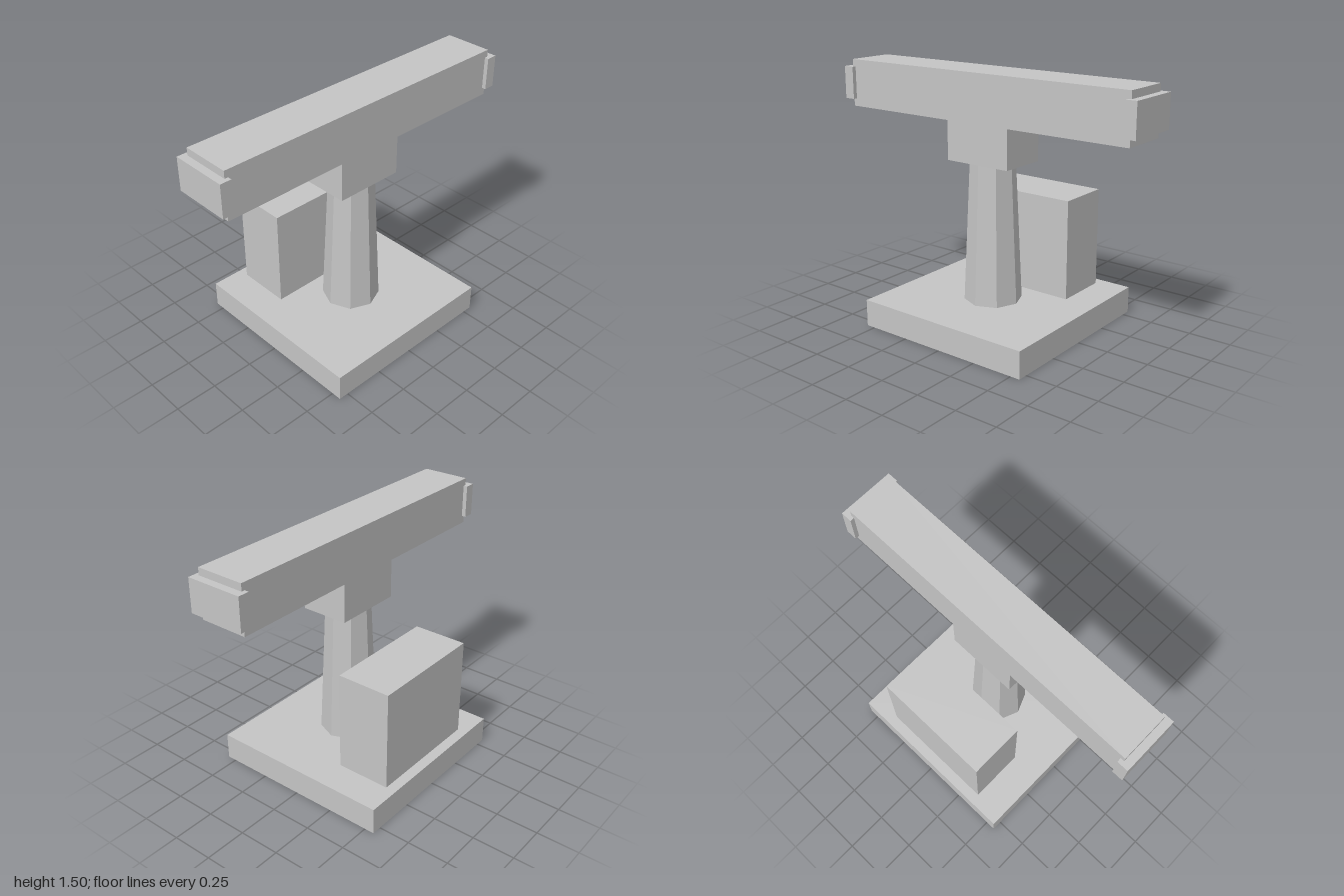
import * as THREE from 'three';

export function createModel() {
  const model = new THREE.Group();
  model.name = 'pedestalWithCrossBeam';
  const grey = new THREE.MeshStandardMaterial({ color: 0xc4c4c4 });
  grey.name = 'light grey';
  const armZ = 0.066; // column and beam sit slightly forward of centre

  function add(name, geometry, x, y, z) {
    const mesh = new THREE.Mesh(geometry, grey);
    mesh.name = name;
    mesh.position.set(x, y, z);
    model.add(mesh);
  }

  // Square base plate and the cabinet standing at the back of it
  add('basePlate', new THREE.BoxGeometry(1.116, 0.16, 1.116), 0, 0.08, 0);
  add('cabinet', new THREE.BoxGeometry(0.724, 0.6, 0.33), 0, 0.46, -0.33);

  // Tapered eight-sided column with flat faces
  const column = new THREE.CylinderGeometry(0.132, 0.17, 0.83, 8).toNonIndexed();
  column.computeVertexNormals();
  add('column', column, 0, 0.575, armZ);

  // T-shaped head: neck block and long cross beam in one piece
  const tee = new THREE.Shape([
    [-0.21, 0.99], [0.21, 0.99], [0.21, 1.22], [0.955, 1.22],
    [0.955, 1.503], [-0.955, 1.503], [-0.955, 1.22], [-0.21, 1.22],
  ].map(([x, y]) => new THREE.Vector2(x, y)));
  const depth = 0.29;
  add('crossBeam', new THREE.ExtrudeGeometry(tee, { depth, bevelEnabled: false }), 0, 0, armZ - depth / 2);

  // Wider caps on both beam ends
  for (const [name, side] of [['leftEndCap', 1], ['rightEndCap', -1]]) {
    add(name, new THREE.BoxGeometry(0.066, 0.194, 0.34), side * 0.967, 1.363, armZ);
  }
  return model;
}
